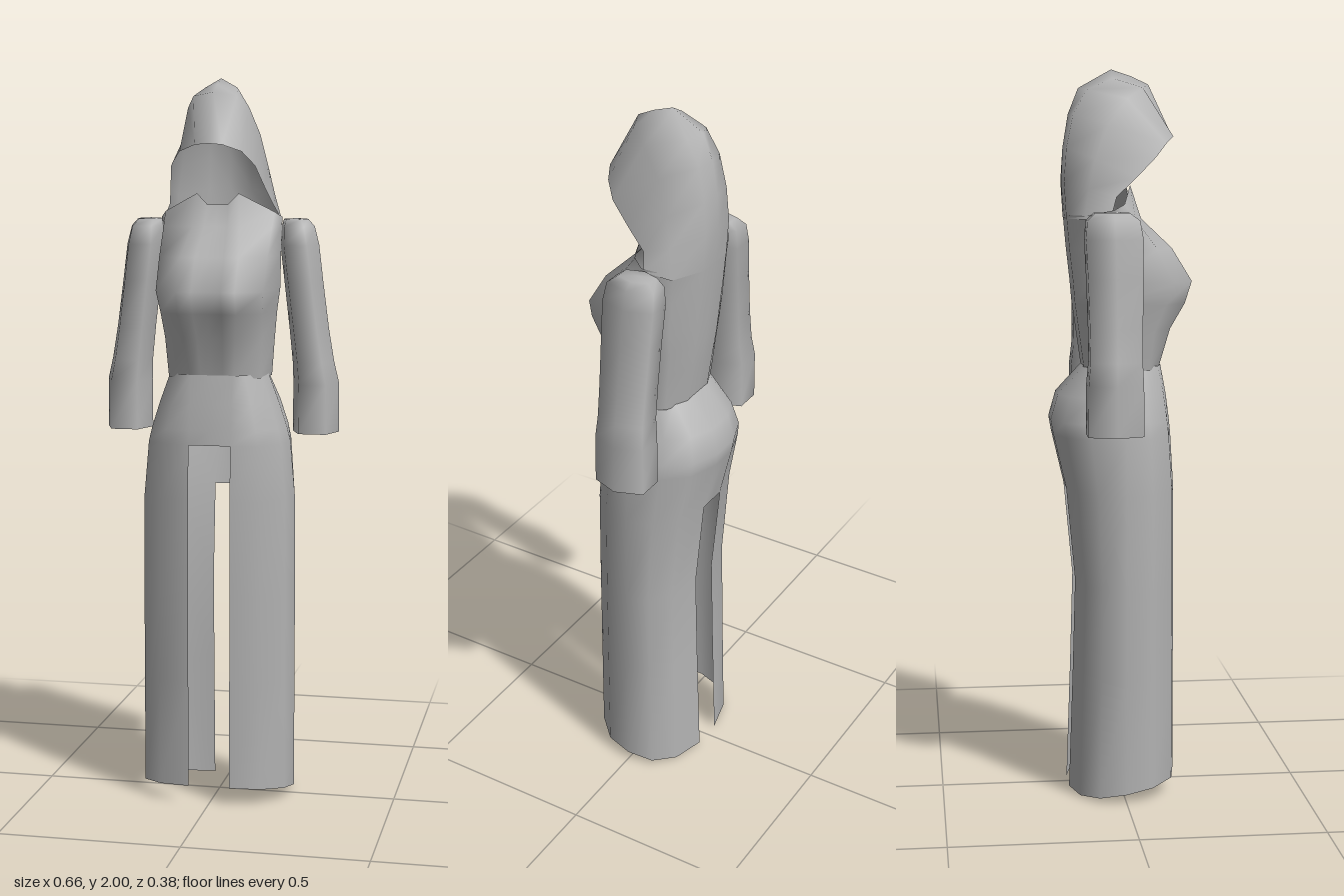
import * as THREE from 'three';
import { mergeVertices } from 'three/addons/utils/BufferGeometryUtils.js';

const cloth = new THREE.MeshStandardMaterial({ color: 0xb2b2b2, side: THREE.DoubleSide });
cloth.name = 'grey cloth';

// Smooth skin over rows of points; skip(row, column) leaves an opening
function loft(name, rows, closed, skip = () => false) {
  const n = rows[0].length;
  const index = [];
  for (let i = 0; i < rows.length - 1; i++) {
    for (let j = 0; j < (closed ? n : n - 1); j++) {
      if (skip(i, j)) continue;
      const a = i * n + j, b = i * n + (j + 1) % n;
      index.push(a, b, b + n, a, b + n, a + n);
    }
  }
  let geo = new THREE.BufferGeometry();
  geo.setAttribute('position', new THREE.Float32BufferAttribute(rows.flat(2), 3));
  geo.setIndex(index);
  geo = mergeVertices(geo, 1e-4);
  geo.computeVertexNormals();
  const mesh = new THREE.Mesh(geo, cloth);
  mesh.name = name;
  return mesh;
}

// Completes a row given from its front to the centre of the back
const mirrorRow = (half, closed) => [
  ...half,
  ...half.slice(closed ? 1 : 0, -1).reverse().map(([x, y, z]) => [-x, y, z]),
];

// Long skirt with a slit in front and a lower one behind
function skirt() {
  // y, half width, front z, back z
  const levels = [
    [0, 0.215, 0.148, -0.145], [0.35, 0.215, 0.148, -0.133], [0.6, 0.215, 0.148, -0.126],
    [0.86, 0.213, 0.147, -0.15], [1.01, 0.2, 0.138, -0.185], [1.05, 0.19, 0.134, -0.192],
    [1.12, 0.167, 0.125, -0.172], [1.2, 0.137, 0.11, -0.098],
  ];
  const rows = levels.map(([y, w, f, b], i) => mirrorRow([
    [0, f], [0.058, f], [0.66 * w, 0.9 * f], [0.93 * w, 0.5 * f], [w, 0],
    [0.93 * w, 0.5 * b], [0.66 * w, 0.84 * b], [0.044, b], [0, b],
  ].map(([x, z]) => [x, i ? y : 0.026 + 0.165 * z, z]), true));
  return loft('skirt', rows, true, (i, j) =>
    (i < 4 && (j === 0 || j === 15)) || (i < 3 && (j === 7 || j === 8)));
}

// Fitted bodice with a notched collar
function bodice() {
  // y, centre front z, bust z, bust x, side front z, half width, back z
  const levels = [
    [1.19, 0.106, 0.104, 0.06, 0.07, 0.142, -0.1],
    [1.3, 0.13, 0.135, 0.07, 0.085, 0.15, -0.115],
    [1.37, 0.162, 0.174, 0.08, 0.115, 0.156, -0.125],
    [1.43, 0.181, 0.193, 0.08, 0.14, 0.164, -0.13],
    [1.52, 0.135, 0.138, 0.08, 0.09, 0.166, -0.14],
    [1.6, 0.055, 0.055, 0.065, 0.03, 0.168, -0.147],
    [0, 0.03, 0.026, 0.058, 0, 0.17, -0.148],
  ];
  const collarY = [1.66, 1.66, 1.69, 1.64, 1.625, 1.61, 1.61, 1.61];
  const rows = levels.map(([y, f, bust, bx, side, w, b]) => mirrorRow([
    [0, f], [0.5 * bx, (f + bust) / 2], [bx, bust], [0.9 * w, side], [w, -0.03],
    [0.85 * w, 0.72 * b], [0.36 * w, b], [0, b],
  ].map(([x, z], k) => [x, y || collarY[k], z]), true));
  return loft('bodice', rows, true);
}

// Empty hood, each row running from the face opening to the back
function hood() {
  const rows = [
    [[0.168, 1.615, -0.035], [0.148, 1.6, -0.106], [0.06, 1.6, -0.148], [0, 1.6, -0.148]],
    [[0.145, 1.66, -0.02], [0.138, 1.68, -0.095], [0.06, 1.7, -0.154], [0, 1.7, -0.157]],
    [[0.13, 1.71, 0.035], [0.122, 1.76, -0.075], [0.057, 1.79, -0.147], [0, 1.79, -0.153]],
    [[0.115, 1.765, 0.09], [0.105, 1.85, -0.04], [0.052, 1.88, -0.128], [0, 1.88, -0.138]],
    [[0.085, 1.802, 0.122], [0.085, 1.92, 0.015], [0.048, 1.945, -0.09], [0, 1.95, -0.11]],
    [[0.037, 1.82, 0.147], [0.06, 1.95, 0.06], [0.045, 1.975, -0.02], [0, 2, -0.02]],
    [[0, 1.823, 0.147], [0, 1.96, 0.082], [0, 1.982, 0.035], [0, 2, -0.02]],
  ];
  return loft('hood', rows.map((r) => mirrorRow(r, false)), false);
}

// Six-sided sleeve with a rounded shoulder and an open, wider cuff
function sleeve(side) {
  // y, centre x, half width, centre z, half depth
  const levels = [
    [1.035, 0.265, 0.065, -0.038, 0.074], [1.17, 0.265, 0.064, -0.038, 0.073],
    [1.23, 0.257, 0.058, -0.036, 0.069], [1.32, 0.245, 0.055, -0.035, 0.07],
    [1.45, 0.229, 0.054, -0.035, 0.073], [1.55, 0.217, 0.054, -0.036, 0.076],
    [1.6, 0.212, 0.046, -0.038, 0.07], [1.62, 0.206, 0.034, -0.04, 0.046],
    [1.622, 0.205, 0, -0.04, 0],
  ];
  const hex = [[1, 0], [0.58, -1], [-0.58, -1], [-1, 0], [-0.58, 1], [0.58, 1]];
  const section = side > 0 ? hex : [...hex].reverse();
  const rows = levels.map(([y, cx, rx, cz, rz]) =>
    section.map(([u, v]) => [side * (cx + u * rx), y, cz + v * rz]));
  return loft(side > 0 ? 'leftSleeve' : 'rightSleeve', rows, true);
}

export function createModel() {
  const model = new THREE.Group();
  model.name = 'hoodedDress';
  model.add(skirt(), bodice(), hood(), sleeve(1), sleeve(-1));
  return model;
}
